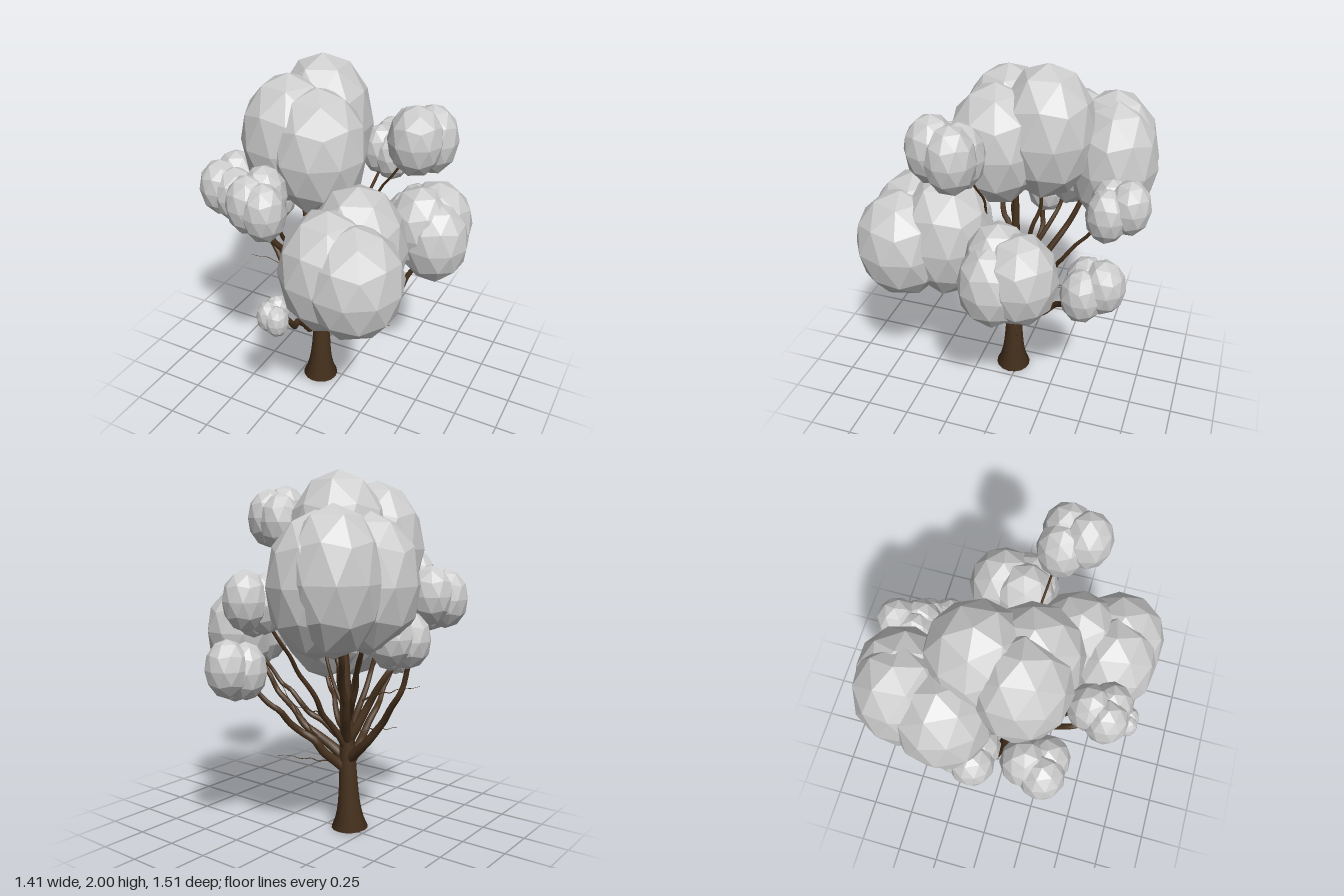
import * as THREE from 'three';

export function createModel() {
  const tree = new THREE.Group();
  tree.name = 'tree';
  const bark = new THREE.MeshStandardMaterial({ color: 0x49331f });
  bark.name = 'bark brown';
  const leaf = new THREE.MeshStandardMaterial({ color: 0xcccccc, flatShading: true });
  leaf.name = 'foliage grey';

  // Faceted ball with a vertex at each pole, stretched into every lobe
  const ball = new THREE.IcosahedronGeometry(1, 1).rotateZ(-0.5536);
  function addClump(name, lobes) {
    const clump = new THREE.Group();
    clump.name = name;
    lobes.forEach(([x, y, z, r, ry], i) => {
      const lobe = new THREE.Mesh(ball, leaf);
      lobe.name = 'lobe';
      lobe.position.set(x, y, z);
      lobe.scale.set(r, ry, r);
      lobe.rotation.y = i * 0.9 + x * 3;
      clump.add(lobe);
    });
    tree.add(clump);
  }

  // Small clump: a high rear lobe and two lower front ones, fitted to half sizes;
  // facing -1 turns it back to front
  function addSmallClump(name, [x, y, z], [hx, hy, hz], facing = 1) {
    const r = (hx + hz) / 2;
    const lobes = [[-0.05, 0.12, -0.3, 0.74], [-0.29, 0, 0.27, 0.72], [0.28, -0.12, 0.3, 0.72]];
    addClump(name, lobes.map(([ox, oy, oz, size]) => [
      x + ox * hx * facing, y + oy * hy, z + oz * hz * facing, r * size, hy * 0.89,
    ]));
  }

  // Limb along a path of points, with its radius given by a function of 0..1
  function addLimb(name, points, radiusAt, sides) {
    const curve = new THREE.CatmullRomCurve3(points);
    const steps = 28;
    const geo = new THREE.TubeGeometry(curve, steps, 1, sides, false);
    const pos = geo.attributes.position;
    const v = new THREE.Vector3();
    for (let i = 0; i <= steps; i++) {
      const c = curve.getPointAt(i / steps);
      const r = radiusAt(i / steps);
      for (let j = 0; j <= sides; j++) {
        const n = i * (sides + 1) + j;
        v.fromBufferAttribute(pos, n).sub(c).multiplyScalar(r).add(c);
        pos.setXYZ(n, v.x, v.y, v.z);
      }
    }
    const mesh = new THREE.Mesh(geo, bark);
    mesh.name = name;
    tree.add(mesh);
  }

  // Gnarled path from start to tip; reach > 0 spreads outwards before it climbs
  function gnarledPath(start, tip, reach, wobble) {
    const phase = tip.x * 9 + tip.z * 5;
    return Array.from({ length: 11 }, (_, i) => {
      const t = i / 10;
      const out = t + reach * t * (1 - t);
      const w = wobble * Math.sin(t * Math.PI);
      return new THREE.Vector3(
        THREE.MathUtils.lerp(start.x, tip.x, out) + Math.sin(i * 1.7 + phase) * w,
        THREE.MathUtils.lerp(start.y, tip.y, t) + Math.cos(i * 2.1 + phase) * w,
        THREE.MathUtils.lerp(start.z, tip.z, out) + Math.cos(i * 1.5 + phase) * w,
      );
    });
  }

  // Trunk with a flared foot and a closed underside
  const trunkPath = [0, 0.35, 0.7, 1.05, 1.4].map((y) => new THREE.Vector3(-0.135 + y * 0.025, y, 0.035 - y * 0.02));
  addLimb('trunk', trunkPath, (t) => 0.062 - 0.052 * t + 0.043 * Math.exp(-t * 16), 16);
  const foot = new THREE.Mesh(new THREE.CircleGeometry(0.104, 16).rotateX(Math.PI / 2), bark);
  foot.name = 'trunkUnderside';
  foot.position.set(-0.135, 0.001, 0.035);
  tree.add(foot);

  // Branches: base radius, height on the trunk, tip x, y, z, reach
  const branches = [
    [0.036, 0.4, -0.58, 1.12, -0.04, 0.85],
    [0.036, 0.4, 0.46, 1.0, -0.06, 0.8],
    [0.026, 0.5, 0.42, 1.05, -0.16, 0.4],
    [0.036, 0.34, 0.26, 0.94, -0.46, 0.1],
    [0.024, 0.45, 0.01, 1.28, -0.52, 0],
    [0.036, 0.36, -0.04, 0.88, 0.64, 0.25],
    [0.034, 0.4, 0.24, 1.05, 0.4, 0.15],
    [0.026, 0.5, 0.33, 1.0, 0.36, 0.5],
    [0.034, 0.5, -0.52, 1.3, 0.25, -0.1],
    [0.024, 0.52, -0.2, 1.4, 0.46, 0],
    [0.034, 0.5, -0.38, 1.35, -0.42, 0],
    [0.024, 0.62, -0.46, 1.38, -0.26, 0.3],
    [0.024, 0.62, -0.26, 1.5, 0.06, 0.3],
    [0.024, 0.68, -0.12, 1.35, -0.14, 0.6],
    [0.014, 0.6, 0.47, 1.74, 0.1, -0.2],
  ];
  branches.forEach(([radius, height, x, y, z, reach]) => {
    const start = new THREE.Vector3(-0.125, height, 0.025);
    const path = gnarledPath(start, new THREE.Vector3(x, y, z), reach, 0.014);
    addLimb('branch', path, (t) => radius * (1 - 0.7 * Math.sqrt(t)) + 0.001, 8);
  });

  // Bare twigs: start, tip, reach
  const twigs = [
    [[-0.12, 0.38, 0.02], [0.27, 0.39, -0.13], 0],
    [[-0.2, 0.75, 0.06], [-0.5, 0.85, 0.18], -0.5],
    [[-0.12, 0.55, 0.12], [-0.22, 0.52, 0.4], 0],
    [[-0.08, 0.66, -0.1], [0, 0.78, -0.34], -0.4],
    [[0.06, 0.52, -0.02], [0.22, 0.86, -0.17], 0.3],
  ];
  twigs.forEach(([start, tip, reach]) => {
    const path = gnarledPath(new THREE.Vector3(...start), new THREE.Vector3(...tip), reach, 0.01);
    addLimb('twig', path, (t) => 0.007 - 0.006 * Math.sqrt(t), 5);
  });

  // Large foliage: x, y, z, radius, half height of each lobe
  addClump('crownFoliage', [
    [-0.18, 1.62, -0.135, 0.27, 0.38], [-0.255, 1.59, 0.1, 0.26, 0.36], [-0.08, 1.56, 0.115, 0.262, 0.345]]);
  addClump('backRightFoliage', [
    [-0.39, 1.45, -0.46, 0.255, 0.37], [-0.305, 1.43, -0.485, 0.245, 0.36], [-0.45, 1.43, -0.24, 0.255, 0.355]]);
  addClump('frontLeftFoliage', [
    [0.235, 1.15, 0.285, 0.26, 0.36], [0.175, 1.12, 0.49, 0.255, 0.34], [0.325, 1.11, 0.505, 0.257, 0.31]]);
  addClump('leftFoliage', [
    [0.48, 1.12, -0.195, 0.2, 0.255], [0.43, 1.15, -0.07, 0.18, 0.24], [0.52, 1.09, -0.07, 0.185, 0.235]]);

  // Small foliage: centre, half sizes, facing
  addSmallClump('highLeftFoliage', [0.49, 1.755, 0.17], [0.17, 0.195, 0.185], -1);
  addSmallClump('frontRightFoliage', [-0.53, 1.325, 0.25], [0.165, 0.18, 0.17]);
  addSmallClump('frontFoliage', [-0.2, 1.41, 0.49], [0.16, 0.18, 0.16]);
  addSmallClump('lowRightFoliage', [-0.52, 1.145, -0.12], [0.17, 0.17, 0.17]);
  addSmallClump('lowFrontFoliage', [-0.045, 0.88, 0.65], [0.085, 0.1, 0.09]);
  addSmallClump('backFoliage', [0.02, 1.33, -0.585], [0.14, 0.175, 0.175]);
  addSmallClump('lowBackFoliage', [0.225, 0.955, -0.52], [0.155, 0.178, 0.17]);

  return tree;
}
